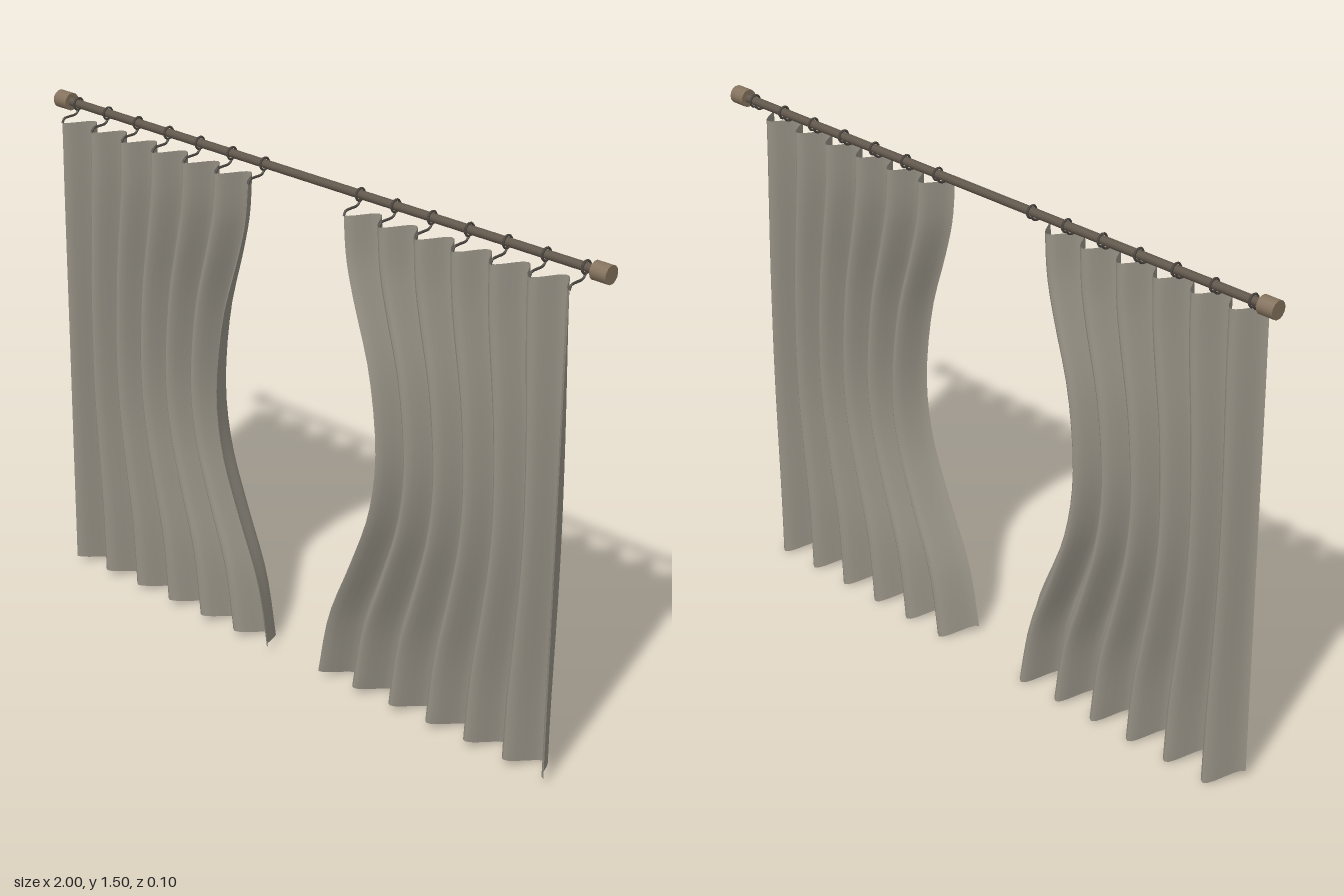
import * as THREE from 'three';

const fabric = new THREE.MeshStandardMaterial({ color: 0x979286, side: THREE.DoubleSide });
fabric.name = 'fabric';
const rodMetal = new THREE.MeshStandardMaterial({ color: 0x60564b });
rodMetal.name = 'rodMetal';
const ringMetal = new THREE.MeshStandardMaterial({ color: 0x4c4741 });
ringMetal.name = 'ringMetal';
const capWood = new THREE.MeshStandardMaterial({ color: 0x84725d });
capWood.name = 'capWood';

const ROD_Y = 1.478, ROD_Z = -0.028;
const OUTER = 0.922, TOP = 1.437, PLEATS = 6;

// Inner edge of the gathered curtain, from hem to top
const innerEdge = new THREE.SplineCurve([
  [0.1, 0], [0.138, 0.2], [0.217, 0.4], [0.28, 0.58], [0.302, 0.77],
  [0.275, 1.0], [0.216, 1.2], [0.186, 1.32], [0.175, 1.44],
].map(([x, y]) => new THREE.Vector2(x, y)));

function addMesh(parent, name, geometry, material) {
  const mesh = new THREE.Mesh(geometry, material);
  mesh.name = name;
  parent.add(mesh);
  return mesh;
}

// Pleated sheet: a wave across the width, deeper toward the hem
function curtainGeometry(side) {
  const geo = new THREE.PlaneGeometry(1, 1, PLEATS * 12, 28);
  const pos = geo.attributes.position;
  const edge = new THREE.Vector2();
  for (let i = 0; i < pos.count; i++) {
    const u = pos.getX(i) + 0.5;
    const v = pos.getY(i) + 0.5;
    innerEdge.getPoint(v, edge);
    const wave = Math.cos(u * PLEATS * Math.PI * 2);
    const hem = 0.011 * (1 + wave) * (1 - v);
    const y = edge.y * TOP / 1.44 + hem;
    const depth = 0.05 - 0.013 * v;
    pos.setXYZ(i, side * THREE.MathUtils.lerp(edge.x, OUTER, u), y, depth * wave);
  }
  geo.computeVertexNormals();
  return geo;
}

// Ring around the rod with a hook reaching forward to the pleat crest
function curtainRing(x) {
  const ring = new THREE.Group();
  ring.name = 'curtainRing';
  ring.position.set(x, ROD_Y, ROD_Z);
  const loop = addMesh(ring, 'ringLoop', new THREE.TorusGeometry(0.017, 0.0035, 6, 16), ringMetal);
  loop.rotation.y = Math.PI / 2;
  const path = new THREE.CatmullRomCurve3([
    new THREE.Vector3(0, -0.017, 0),
    new THREE.Vector3(0, -0.028, 0.012),
    new THREE.Vector3(0, -0.029, 0.04),
    new THREE.Vector3(0, -0.031, 0.058),
    new THREE.Vector3(0, -0.043, 0.065),
  ]);
  addMesh(ring, 'ringHook', new THREE.TubeGeometry(path, 12, 0.0035, 6), ringMetal);
  return ring;
}

export function createModel() {
  const model = new THREE.Group();
  model.name = 'curtains';

  // Rod
  const rod = addMesh(model, 'rod', new THREE.CylinderGeometry(0.0125, 0.0125, 1.92, 14), rodMetal);
  rod.rotation.z = Math.PI / 2;
  rod.position.set(0, ROD_Y, ROD_Z);

  for (const side of [1, -1]) {
    const label = side > 0 ? 'left' : 'right';

    // End cap
    const cap = addMesh(model, label + 'EndCap', new THREE.CylinderGeometry(0.026, 0.026, 0.05, 14), capWood);
    cap.rotation.z = Math.PI / 2;
    cap.position.set(side * 0.975, ROD_Y, ROD_Z);

    // Curtain and its rings, one at each pleat crest
    addMesh(model, label + 'Curtain', curtainGeometry(side), fabric);
    for (let i = 0; i <= PLEATS; i++) {
      model.add(curtainRing(side * THREE.MathUtils.lerp(0.175, OUTER, i / PLEATS)));
    }
  }
  return model;
}
